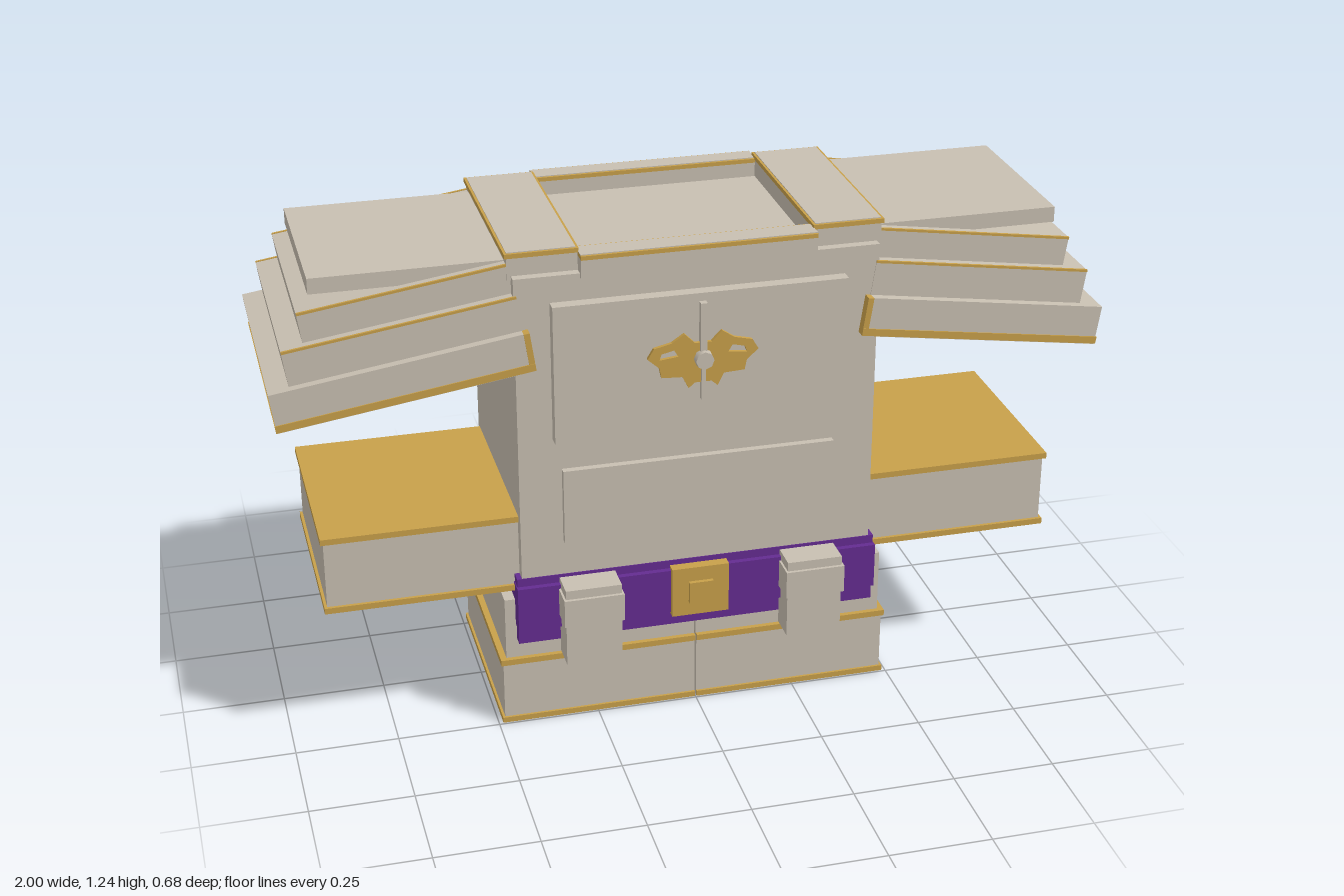
import * as THREE from 'three';

const mat = (name, color) => {
  const m = new THREE.MeshStandardMaterial({ color });
  m.name = name;
  return m;
};

export function createModel() {
  const root = new THREE.Group();
  root.name = 'armouredFigure';
  const plate = mat('stoneBeige', 0xc8bfb1);
  const gold = mat('gold', 0xc8a04a);
  const purple = mat('purple', 0x642c90);

  // Box given by its limits on each axis
  const box = (name, m, x0, x1, y0, y1, z0, z1, parent = root) => {
    const g = new THREE.BoxGeometry(Math.abs(x1 - x0), y1 - y0, z1 - z0);
    const mesh = new THREE.Mesh(g, m);
    mesh.position.set((x0 + x1) / 2, (y0 + y1) / 2, (z0 + z1) / 2);
    mesh.name = name;
    parent.add(mesh);
    return mesh;
  };

  // Torso with raised panels
  box('torso', plate, -0.435, 0.435, 0.23, 1.18, -0.28, 0.26);
  box('chestPlate', plate, -0.352, 0.352, 0.77, 1.115, 0.25, 0.29);
  box('abdomenPlate', plate, -0.332, 0.332, 0.5, 0.69, 0.25, 0.277);
  box('backPlate', plate, -0.352, 0.352, 0.71, 1.11, -0.306, -0.27);

  // Collar beams in front of and behind the neck opening
  for (const [z0, z1] of [[0.21, 0.272], [-0.307, -0.25]]) {
    box('collarBeam', plate, -0.28, 0.28, 1.17, 1.216, z0, z1);
    box('collarTrim', gold, -0.28, 0.28, 1.216, 1.226, z0 - 0.002, z1 + 0.002);
    box('collarTop', plate, -0.28, 0.28, 1.22, 1.228, z0 + 0.004, z1 - 0.004);
  }

  // Belt, buckle
  box('belt', purple, -0.447, 0.447, 0.23, 0.408, -0.286, 0.262);
  box('beltBand', purple, -0.449, 0.449, 0.272, 0.387, -0.302, 0.276);
  box('buckle', gold, -0.071, 0.071, 0.265, 0.395, 0.26, 0.288);
  box('buckleStud', gold, -0.03, 0.03, 0.302, 0.358, 0.28, 0.298);

  // Cape panel with gold edging
  box('cape', purple, -0.338, 0.338, 0.245, 1.17, -0.337, -0.312);
  box('capeHem', gold, -0.355, 0.355, 0.23, 0.245, -0.34, -0.31);

  for (const s of [1, -1]) {
    const side = new THREE.Group();
    side.name = s > 0 ? 'leftSide' : 'rightSide';
    root.add(side);
    const part = (name, m, x0, x1, ...r) => box(name, m, s * x0, s * x1, ...r, side);

    part('capeEdge', gold, 0.338, 0.355, 0.23, 1.17, -0.34, -0.31);

    // Leg and boot
    part('leg', plate, 0.002, 0.475, 0.17, 0.34, -0.265, 0.236);
    part('boot', plate, 0.002, 0.484, 0, 0.176, -0.27, 0.242);
    part('soleTrim', gold, 0.002, 0.49, 0.002, 0.016, -0.276, 0.248);
    part('cuffTrim', gold, 0.002, 0.49, 0.164, 0.179, -0.276, 0.248);

    // Arm block with gold caps
    part('arm', plate, 0.42, 0.898, 0.375, 0.555, -0.26, 0.23);
    part('armBottomCap', gold, 0.42, 0.905, 0.366, 0.381, -0.265, 0.238);
    part('armTopCap', gold, 0.42, 0.905, 0.55, 0.565, -0.265, 0.238);

    // Shoulder strap cap
    part('strap', plate, 0.28, 0.445, 1.17, 1.226, -0.268, 0.238);
    part('strapTrim', gold, 0.278, 0.45, 1.224, 1.235, -0.272, 0.242);
    part('strapTop', plate, 0.284, 0.444, 1.23, 1.237, -0.266, 0.236);

    // Belt pouch
    part('pouch', plate, 0.207, 0.344, 0.197, 0.4, 0.262, 0.333);
    part('pouchFlap', plate, 0.202, 0.349, 0.306, 0.377, 0.268, 0.341);

    // Shoulder guard: flat top slab over three tilted slabs
    part('shoulderSlab', plate, 0.42, 0.89, 1.172, 1.21, -0.24, 0.21);
    const layers = [
      [0.921, 1.138, 0.49, 0.08, -0.265, 0.235],
      [0.963, 1.06, 0.54, 0.086, -0.29, 0.262],
      [1.0, 0.969, 0.6, 0.097, -0.314, 0.283],
    ];
    layers.forEach(([x, y, len, t, z0, z1], i) => {
      const g = new THREE.Group();
      g.name = 'shoulderLayer';
      g.position.set(s * x, y, 0);
      g.rotation.z = -s * 0.145;
      side.add(g);
      box('shoulderSlab', plate, -s * len, 0, -t, 0, z0, z1, g);
      if (i < 2) {
        // Thin gold lines along the upper edges
        box('edgeLine', gold, -s * len, 0, -0.004, 0.002, z0 - 0.002, z0 + 0.004, g);
        box('edgeLine', gold, -s * len, 0, -0.004, 0.002, z1 - 0.004, z1 + 0.002, g);
      } else {
        box('lowerTrim', gold, -s * (len + 0.002), s * 0.002, 0.002 - t, 0.02 - t, z0 - 0.003, z1 + 0.003, g);
        box('innerTrim', gold, -s * (len + 0.002), -s * (len - 0.012), 0.002 - t, 0, z0 - 0.002, z1 + 0.002, g);
      }
    });
  }

  // Winged chest ornament with an upright blade
  const half = [[0.02, 0.895], [0.035, 0.882], [0.05, 0.912], [0.1, 0.915], [0.105, 0.94],
    [0.133, 0.965], [0.118, 0.99], [0.075, 1.0], [0.045, 1.02], [0.02, 0.995]];
  const pts = [...half, ...half.map(([x, y]) => [-x, y]).reverse()];
  const wings = new THREE.Shape(pts.map(([x, y]) => new THREE.Vector2(x, y)));
  for (const s of [1, -1]) {
    wings.holes.push(new THREE.Path([[0.06, 0.965], [0.105, 0.96], [0.1, 0.975], [0.07, 0.982]]
      .map(([x, y]) => new THREE.Vector2(s * x, y))));
  }
  const ornament = new THREE.Mesh(
    new THREE.ExtrudeGeometry(wings, { depth: 0.014, bevelEnabled: false }), gold);
  ornament.position.z = 0.285;
  ornament.name = 'chestWings';
  root.add(ornament);
  box('bladeGrip', plate, -0.008, 0.008, 0.95, 1.095, 0.285, 0.306);
  box('bladeTip', plate, -0.005, 0.005, 0.85, 0.95, 0.285, 0.304);
  const stud = new THREE.Mesh(new THREE.CylinderGeometry(0.022, 0.024, 0.03, 8), plate);
  stud.rotation.x = Math.PI / 2;
  stud.position.set(0, 0.955, 0.302);
  stud.name = 'chestStud';
  root.add(stud);

  return root;
}
